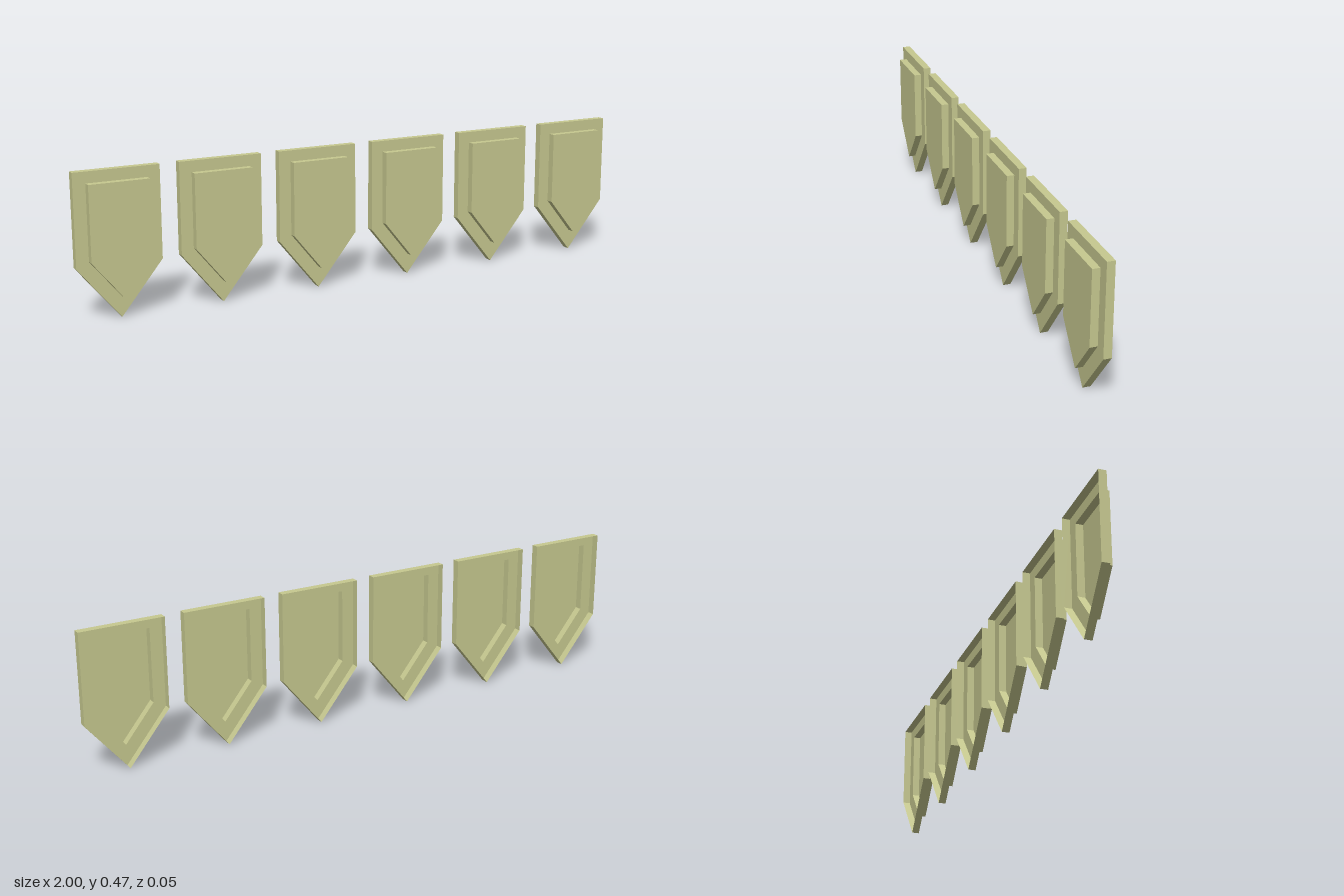
import * as THREE from 'three';

// Pointed pennant outline, counter-clockwise seen from the front
const outline = (half, top, shoulder, tip) => [
  [0, tip], [half, shoulder], [half, top], [-half, top], [-half, shoulder],
];
const OUTER = outline(0.14, 0.476, 0.173, 0.002);
const INNER = outline(0.099, 0.439, 0.193, 0.072);
const BACK = -0.025, MID = 0.001, FRONT = 0.026;

// Joins successive [outline, z] rings with flat faces; optionally caps the last ring
function shell(rings, cap) {
  const pos = [];
  const put = ([outl, z], i) => pos.push(...outl[i % outl.length], z);
  for (let r = 0; r + 1 < rings.length; r++) {
    const a = rings[r], b = rings[r + 1];
    for (let i = 0; i < a[0].length; i++) {
      put(a, i); put(a, i + 1); put(b, i + 1);
      put(a, i); put(b, i + 1); put(b, i);
    }
  }
  if (cap) {
    const last = rings[rings.length - 1];
    for (let i = 1; i + 1 < last[0].length; i++) {
      put(last, 0); put(last, i); put(last, i + 1);
    }
  }
  const geo = new THREE.BufferGeometry();
  geo.setAttribute('position', new THREE.Float32BufferAttribute(pos, 3));
  geo.computeVertexNormals();
  return geo;
}

export function createModel() {
  const model = new THREE.Group();
  model.name = 'pennantRow';
  const material = new THREE.MeshStandardMaterial({ color: 0xc6c88f, side: THREE.DoubleSide });

  // Open-backed shell: stepped border and raised front panel
  const borderGeo = shell([[OUTER, BACK], [OUTER, MID], [INNER, MID]], false);
  const panelGeo = shell([[INNER, MID], [INNER, FRONT]], true);

  // Six evenly spaced pennants
  const count = 6, spacing = 0.344;
  for (let i = 0; i < count; i++) {
    const pennant = new THREE.Group();
    pennant.name = `pennant${i + 1}`;
    const border = new THREE.Mesh(borderGeo, material);
    border.name = 'border';
    const panel = new THREE.Mesh(panelGeo, material);
    panel.name = 'raisedPanel';
    pennant.add(border, panel);
    pennant.position.x = (i - (count - 1) / 2) * spacing;
    model.add(pennant);
  }
  return model;
}
